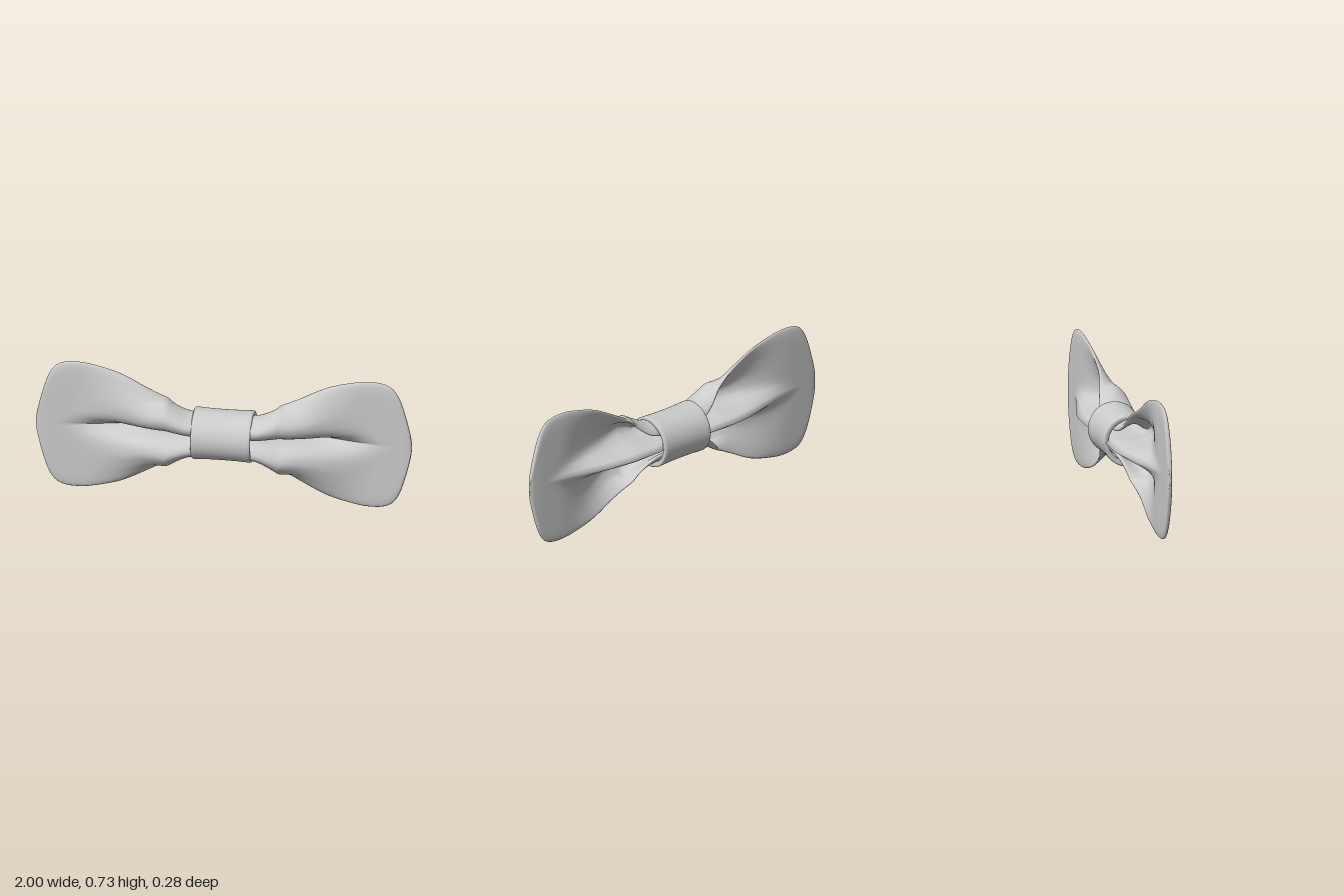
import * as THREE from 'three';

const MID = 0.367; // height of the bow's axis
const v2 = (list) => list.map(([a, b]) => new THREE.Vector2(a, b));

// Half height of the cloth along x, from the knot to the tip
const outline = new THREE.SplineCurve(v2([
  [0, 0.1], [0.16, 0.108], [0.25, 0.145], [0.4, 0.235], [0.55, 0.315], [0.7, 0.357], [0.79, 0.366],
  [0.86, 0.356], [0.905, 0.325], [0.94, 0.26], [0.97, 0.16], [0.993, 0.06], [1, 0],
]));

// Upper half of the section at the knot (y relative to half height, z):
// back ridge, deep front valley, front lobe, edge curling to the back
const curledPleat = new THREE.SplineCurve(v2([
  [0, -0.117], [0.11, -0.065], [0.17, 0], [0.16, 0.045], [0.32, 0.09], [0.62, 0.105],
  [0.88, 0.06], [0.98, 0.005], [0.82, -0.045], [0.5, -0.077],
]));

// The same pleat further out, where the edge has uncurled
const openPleat = new THREE.SplineCurve(v2([
  [0, -0.117], [0.06, -0.07], [0.1, -0.02], [0.13, 0.03], [0.24, 0.085], [0.42, 0.105],
  [0.62, 0.082], [0.82, 0.04], [0.93, 0.014], [1, -0.008],
]));

// Centre line of the cloth section at x: curled, then open, then flat
function sectionAt(x, h, ts, curled, open) {
  const uncurl = THREE.MathUtils.smoothstep(x, 0.1, 0.46);
  const pts = ts.map((t, j) => {
    const a = Math.abs(t);
    const p = curled[j].clone().lerp(open[j], uncurl);
    const shift = 0.1 * Math.pow(1 - a, 4); // the back ridge runs further out
    const flat = THREE.MathUtils.smoothstep(x, 0.23 + shift, 0.8 + shift);
    p.lerp(new THREE.Vector2(a, -0.006), flat);
    p.x *= Math.sign(t);
    return p;
  });
  const top = Math.max(...pts.map((p) => p.x));
  const squeeze = THREE.MathUtils.lerp(0.9, 1, THREE.MathUtils.smoothstep(x, 0.1, 0.2));
  pts.forEach((p) => { p.x *= h / top; p.y *= squeeze; });
  return pts;
}

// Folded cloth: a thick sheet lofted through sections from tip to tip
function clothGeometry() {
  const N = 88, M = 76;
  const ts = Array.from({ length: N + 1 }, (_, j) => {
    const s = (2 * j) / N - 1;
    return 0.4 * s + 0.6 * Math.sin((s * Math.PI) / 2);
  });
  const sample = (curve) => ts.map((t) => curve.getPointAt(Math.min(1, Math.abs(t))));
  const curled = sample(curledPleat), open = sample(openPleat);
  const pos = [], index = [];
  const ring = 2 * N;

  for (let i = -M; i <= M; i++) {
    const o = outline.getPointAt(Math.abs(i) / M);
    const x = Math.min(o.x, 1), h = Math.max(o.y, 0.0005);
    const pts = sectionAt(x, h, ts, curled, open);
    const tip = Math.sqrt(Math.max(0, 1 - Math.pow(x, 60)));
    for (let k = 0; k < ring; k++) {
      const j = k <= N ? k : ring - k;
      const side = k <= N ? 1 : -1;
      const d = pts[Math.min(N, j + 1)].clone().sub(pts[Math.max(0, j - 1)]).normalize();
      const w = side * 0.014 * tip * Math.sqrt(Math.max(0, 1 - Math.pow(ts[j], 12)));
      pos.push(x * Math.sign(i), MID + pts[j].x - d.y * w, pts[j].y + d.x * w);
    }
  }
  for (let i = 0; i < 2 * M; i++) {
    for (let k = 0; k < ring; k++) {
      const n = (k + 1) % ring;
      const a = i * ring + k, b = a + ring, c = (i + 1) * ring + n, d = i * ring + n;
      index.push(a, b, c, a, c, d);
    }
  }
  const g = new THREE.BufferGeometry();
  g.setAttribute('position', new THREE.Float32BufferAttribute(pos, 3));
  g.setIndex(index);
  g.computeVertexNormals();
  return g;
}

// Centre band: a hollow, slightly waisted ring around the x axis
function bandGeometry() {
  const profile = v2([
    [0.11, -0.15], [0.115, -0.157], [0.132, -0.159], [0.138, -0.154], [0.138, -0.14], [0.135, -0.08], [0.134, 0],
    [0.135, 0.08], [0.138, 0.14], [0.138, 0.154], [0.132, 0.159], [0.115, 0.157], [0.11, 0.15],
    [0.108, 0], [0.11, -0.15],
  ]);
  return new THREE.LatheGeometry(profile, 72).rotateZ(-Math.PI / 2);
}

export function createModel() {
  const group = new THREE.Group();
  group.name = 'bowTie';
  const material = new THREE.MeshStandardMaterial({ color: 0xcccccc, side: THREE.DoubleSide });

  const cloth = new THREE.Mesh(clothGeometry(), material);
  cloth.name = 'foldedCloth';

  const band = new THREE.Mesh(bandGeometry(), material);
  band.name = 'centreBand';
  band.position.set(0, MID, 0);

  group.add(cloth, band);
  return group;
}
